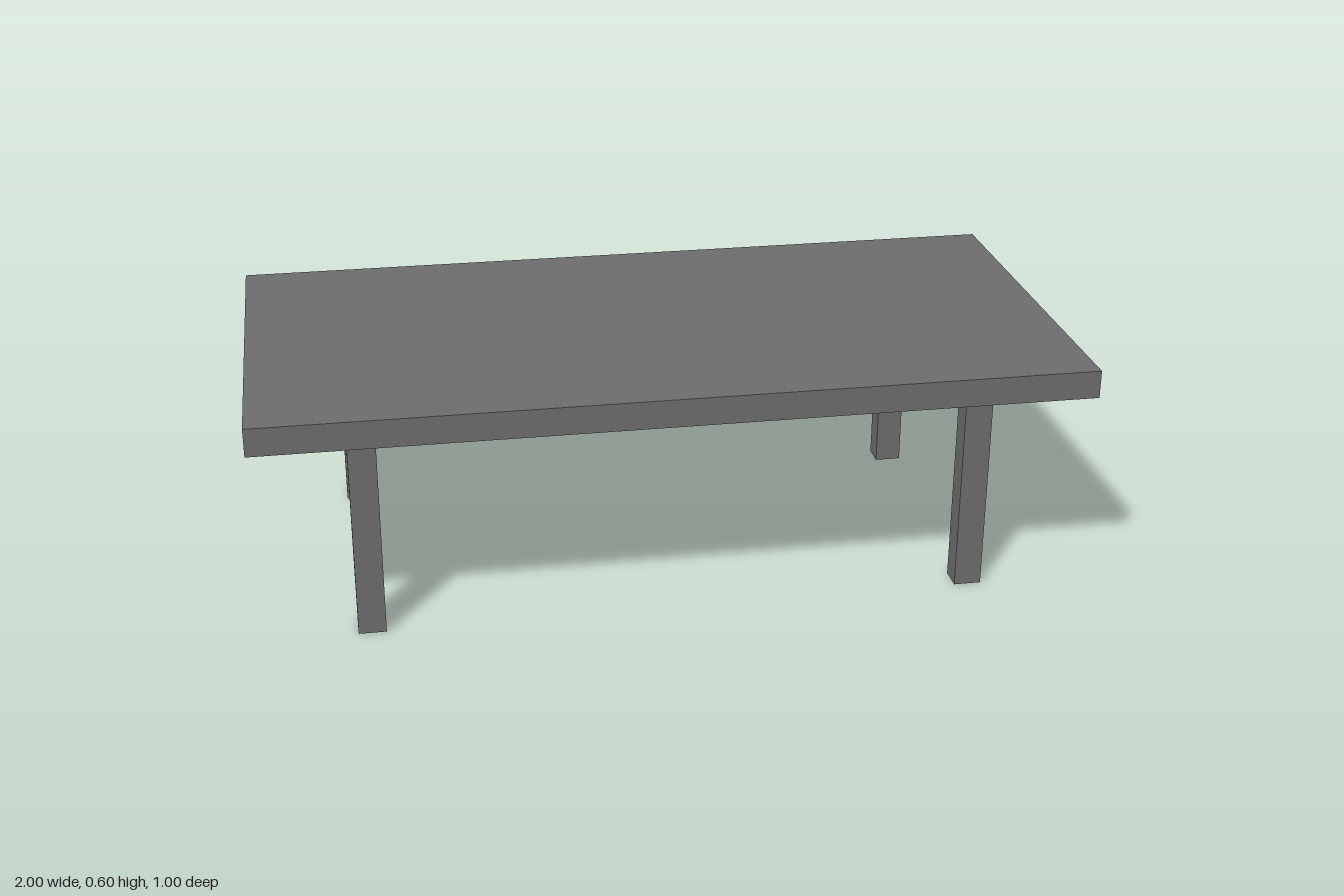
import * as THREE from 'three';

const WIDTH = 2, DEPTH = 1, HEIGHT = 0.6, SLAB = 0.069;
const LEG_HEIGHT = HEIGHT - SLAB;

export function createModel() {
  const table = new THREE.Group();
  table.name = 'table';
  const material = new THREE.MeshStandardMaterial({ color: 0x6c6c6c });

  // Flat rectangular top
  const top = new THREE.Mesh(new THREE.BoxGeometry(WIDTH, SLAB, DEPTH), material);
  top.name = 'tableTop';
  top.position.y = HEIGHT - SLAB / 2;
  table.add(top);

  // Four square legs, set in from the corners
  const legGeometry = new THREE.BoxGeometry(0.067, LEG_HEIGHT, 0.06);
  for (const [zName, z] of [['front', 1], ['back', -1]]) {
    for (const [xName, x] of [['Left', 1], ['Right', -1]]) {
      const leg = new THREE.Mesh(legGeometry, material);
      leg.name = `${zName}${xName}Leg`;
      leg.position.set(x * 0.74, LEG_HEIGHT / 2, z * 0.37);
      table.add(leg);
    }
  }
  return table;
}
